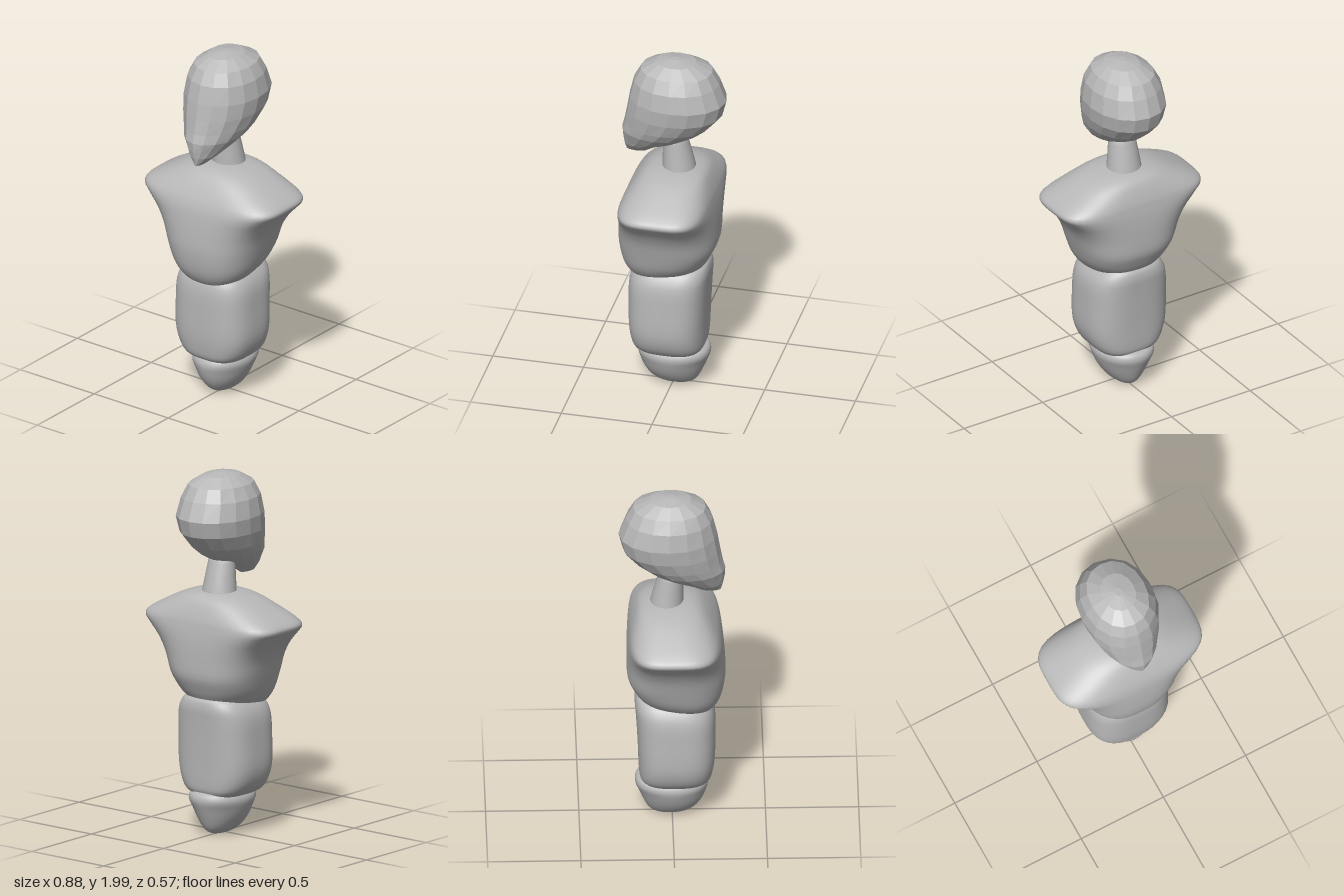
import * as THREE from 'three';

// Loft through horizontal sections, listed from bottom to top:
// [y, half width, front z, back z, squareness, y slope along z]
function loft(rows, sides, steps) {
  const sections = [];
  const at = (i) => rows[Math.min(Math.max(i, 0), rows.length - 1)];
  for (let i = 0; i < rows.length - 1; i++) {
    for (let s = 0; s < steps; s++) {
      const t = s / steps;
      sections.push(at(i).map((b, k) => {
        const a = at(i - 1)[k], c = at(i + 1)[k], d = at(i + 2)[k];
        return b + 0.5 * t * (c - a + t * (2 * a - 5 * b + 4 * c - d + t * (3 * (b - c) + d - a)));
      }));
    }
  }
  sections.push(at(rows.length - 1));

  const pos = [], index = [];
  for (const [y, w, front, back, e, slope] of sections) {
    const mid = (front + back) / 2, depth = (front - back) / 2;
    for (let j = 0; j < sides; j++) {
      const a = (j / sides) * Math.PI * 2, sn = Math.sin(a), cs = Math.cos(a);
      const r = (Math.abs(sn) ** e + Math.abs(cs) ** e) ** (-1 / e);
      const z = mid + depth * r * cs;
      pos.push(w * r * sn, y + slope * z, z);
    }
  }
  const n = sections.length;
  for (let i = 0; i < n - 1; i++) {
    for (let j = 0; j < sides; j++) {
      const k = (j + 1) % sides;
      const a = i * sides + j, b = i * sides + k, c = b + sides, d = a + sides;
      index.push(a, b, c, a, c, d);
    }
  }
  // End caps
  const base = n * sides;
  for (const s of [sections[0], sections[n - 1]]) {
    const mid = (s[2] + s[3]) / 2;
    pos.push(0, s[0] + s[5] * mid, mid);
  }
  for (let j = 0; j < sides; j++) {
    const k = (j + 1) % sides, top = (n - 1) * sides;
    index.push(base, k, j, base + 1, top + j, top + k);
  }
  const g = new THREE.BufferGeometry();
  g.setAttribute('position', new THREE.Float32BufferAttribute(pos, 3));
  g.setIndex(index);
  g.computeVertexNormals();
  return g;
}

export function createModel() {
  const model = new THREE.Group();
  model.name = 'mannequinBust';
  const grey = new THREE.MeshStandardMaterial({ color: 0xb8b8b8 });
  grey.name = 'grey';
  const add = (name, geometry) => {
    const mesh = new THREE.Mesh(geometry, grey);
    mesh.name = name;
    model.add(mesh);
    return mesh;
  };

  // Faceted head with a pointed chin
  const head = loft([
    [1.41, 0.02, 0.262, 0.15, 1.8, 0],
    [1.46, 0.075, 0.275, 0.07, 1.9, 0],
    [1.5, 0.11, 0.282, -0.04, 1.9, 0],
    [1.55, 0.148, 0.285, -0.13, 2, 0],
    [1.6, 0.173, 0.272, -0.195, 2, 0],
    [1.68, 0.198, 0.257, -0.265, 2.1, 0],
    [1.77, 0.21, 0.242, -0.288, 2.1, 0],
    [1.87, 0.193, 0.218, -0.25, 2.1, 0],
    [1.94, 0.155, 0.18, -0.21, 2.2, 0],
    [1.985, 0.09, 0.1, -0.12, 2.2, 0],
    [2.0, 0.02, 0.02, -0.03, 2, 0],
  ], 16, 1).toNonIndexed();
  head.computeVertexNormals();
  add('head', head);

  // Tapered neck leaning forward
  add('neck', loft([
    [1.3, 0.102, 0.062, -0.128, 2, 0],
    [1.42, 0.086, 0.06, -0.1, 2, 0],
    [1.56, 0.07, 0.058, -0.06, 2, 0],
  ], 32, 2));

  // Chest with wide square shoulders
  add('chest', loft([
    [0.715, 0.06, 0.1, -0.08, 2.2, -0.2],
    [0.72, 0.15, 0.18, -0.16, 2.4, -0.2],
    [0.75, 0.195, 0.225, -0.19, 2.5, -0.18],
    [0.81, 0.24, 0.265, -0.215, 2.6, -0.1],
    [0.9, 0.275, 0.285, -0.242, 2.7, 0],
    [1.0, 0.31, 0.283, -0.245, 2.8, 0],
    [1.08, 0.355, 0.275, -0.243, 3.1, 0],
    [1.14, 0.405, 0.265, -0.238, 3.6, 0],
    [1.18, 0.438, 0.252, -0.232, 3.8, 0],
    [1.215, 0.415, 0.235, -0.225, 3.6, 0],
    [1.27, 0.32, 0.2, -0.205, 3, 0],
    [1.32, 0.215, 0.155, -0.175, 2.6, 0],
    [1.345, 0.12, 0.1, -0.12, 2.3, 0],
    [1.355, 0.03, 0.02, -0.04, 2, 0],
  ], 64, 3));

  // Boxy rounded waist
  add('abdomen', loft([
    [0.225, 0.06, 0.08, -0.07, 2.5, 0],
    [0.23, 0.14, 0.165, -0.14, 2.8, 0],
    [0.255, 0.18, 0.205, -0.172, 3, 0],
    [0.31, 0.215, 0.22, -0.18, 3, 0],
    [0.4, 0.236, 0.23, -0.183, 3, 0],
    [0.55, 0.234, 0.232, -0.19, 3, 0],
    [0.66, 0.228, 0.228, -0.197, 3, 0],
    [0.73, 0.203, 0.205, -0.2, 3, 0],
    [0.78, 0.15, 0.15, -0.175, 2.8, 0],
    [0.79, 0.04, 0.05, -0.06, 2.4, 0],
  ], 56, 3));

  // Narrow keel-shaped pelvis
  add('pelvis', loft([
    [0.008, 0.02, 0.04, -0.06, 2, 0],
    [0.02, 0.05, 0.085, -0.105, 2, 0],
    [0.05, 0.085, 0.128, -0.135, 2, 0],
    [0.1, 0.12, 0.163, -0.16, 2, 0],
    [0.16, 0.147, 0.186, -0.185, 2, 0],
    [0.21, 0.158, 0.192, -0.2, 2.2, 0],
    [0.25, 0.13, 0.16, -0.175, 2.3, 0],
    [0.265, 0.04, 0.06, -0.06, 2.2, 0],
  ], 48, 3));

  return model;
}
